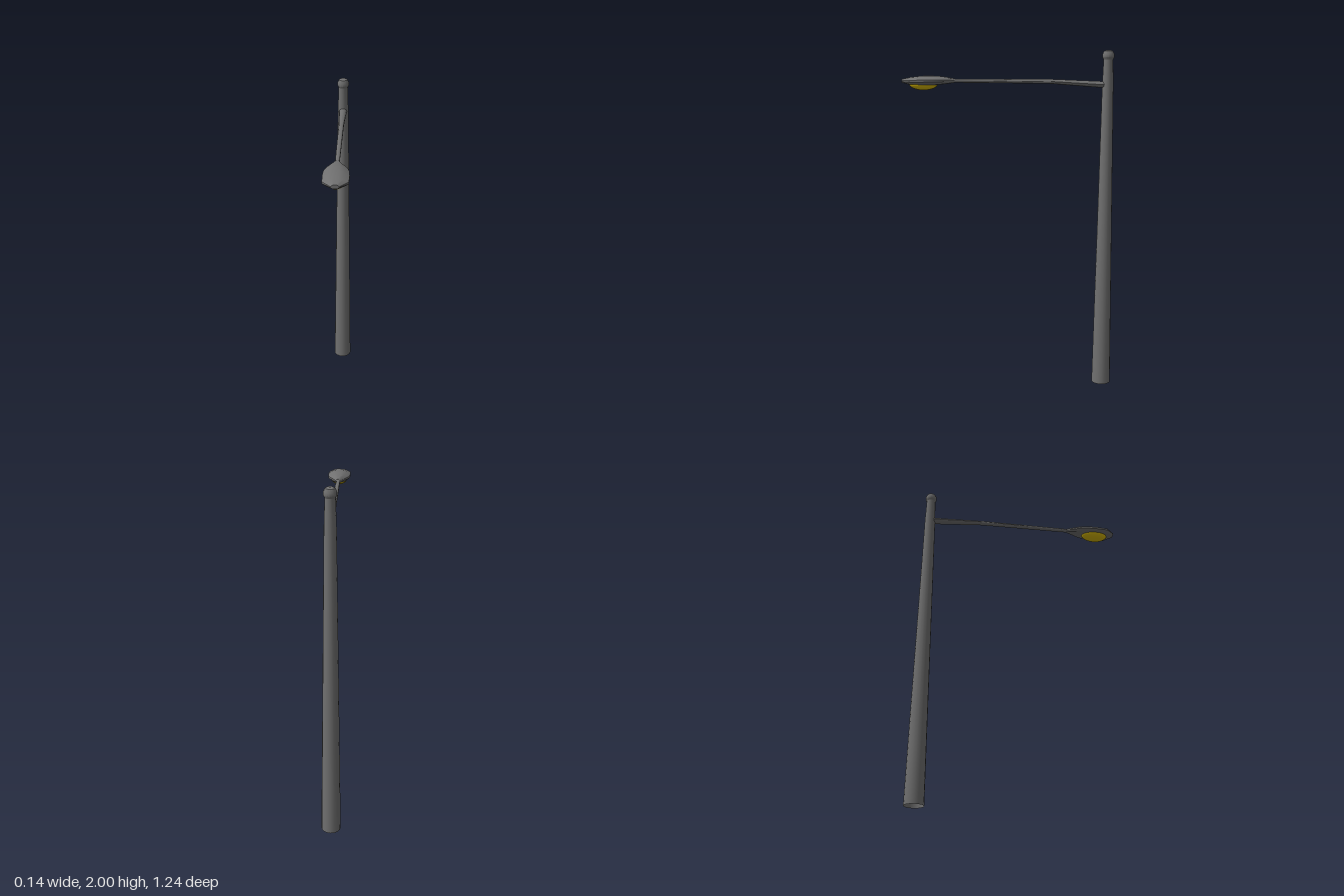
import * as THREE from 'three';
import { toCreasedNormals } from 'three/addons/utils/BufferGeometryUtils.js';

const metal = new THREE.MeshStandardMaterial({ color: 0x707070 });
const openMetal = new THREE.MeshStandardMaterial({ color: 0x707070, side: THREE.DoubleSide });
const glass = new THREE.MeshStandardMaterial({ color: 0xd8b800 });

function addMesh(group, name, geometry, material = metal) {
  const mesh = new THREE.Mesh(geometry, material);
  mesh.name = name;
  group.add(mesh);
  return mesh;
}

// Skins closed rings along +z; section(a, ring) gives [x, y], and both ends are capped.
function loft(rings, sides, section) {
  const pos = [], idx = [];
  for (const r of rings) {
    for (let i = 0; i < sides; i++) {
      const [x, y] = section((i / sides) * Math.PI * 2, r);
      pos.push(x, y, r.z);
    }
  }
  for (let k = 0; k < rings.length - 1; k++) {
    for (let i = 0; i < sides; i++) {
      const j = (i + 1) % sides, a = k * sides, b = a + sides;
      idx.push(a + i, a + j, b + j, a + i, b + j, b + i);
    }
  }
  const last = (rings.length - 1) * sides;
  for (let i = 1; i < sides - 1; i++) {
    idx.push(0, i + 1, i, last, last + i, last + i + 1);
  }
  const g = new THREE.BufferGeometry();
  g.setAttribute('position', new THREE.Float32BufferAttribute(pos, 3));
  g.setIndex(idx);
  return toCreasedNormals(g, 0.6);
}

function lathe(points, sides) {
  const g = new THREE.LatheGeometry(points.map(([r, y]) => new THREE.Vector2(r, y)), sides);
  return toCreasedNormals(g, 0.6);
}

export function createModel() {
  const model = new THREE.Group();
  model.name = 'streetLamp';
  const poleZ = -0.565;

  // Tapered hollow pole, open at the foot
  addMesh(model, 'pole', lathe([
    [0.056, 0], [0.032, 1.8], [0.027, 1.95],
  ], 16), openMetal).position.z = poleZ;

  // Faceted knob on top of the pole
  addMesh(model, 'finial', lathe([
    [0, 1.946], [0.027, 1.946], [0.034, 1.959], [0.034, 1.976], [0.026, 1.993], [0.012, 2], [0, 2],
  ], 16)).position.z = poleZ;

  // Arm, thickest where it meets the pole
  addMesh(model, 'arm', loft([
    { z: -0.565, y: 1.804, rx: 0.024, ry: 0.019 },
    { z: -0.53, y: 1.806, rx: 0.023, ry: 0.018 },
    { z: -0.24, y: 1.823, rx: 0.015, ry: 0.013 },
    { z: 0, y: 1.825, rx: 0.014, ry: 0.012 },
    { z: 0.33, y: 1.827, rx: 0.012, ry: 0.011 },
  ], 12, (a, r) => [Math.cos(a) * r.rx, r.y + Math.sin(a) * r.ry]));

  // Flattened lamp head: domed top, vertical rim, shallow underside
  const outline = [[1, 0.15], [0.6, 0.8], [0.25, 1], [-0.25, 1], [-0.6, 0.8], [-1, 0.15],
    [-1, -0.3], [-0.72, -0.85], [-0.3, -1], [0.3, -1], [0.72, -0.85], [1, -0.3]];
  addMesh(model, 'lampHead', loft([
    { z: 0.315, w: 0.012, top: 1.839, low: 1.816 },
    { z: 0.355, w: 0.03, top: 1.846, low: 1.81 },
    { z: 0.395, w: 0.052, top: 1.852, low: 1.805 },
    { z: 0.44, w: 0.064, top: 1.855, low: 1.801 },
    { z: 0.5, w: 0.068, top: 1.855, low: 1.8 },
    { z: 0.57, w: 0.065, top: 1.847, low: 1.804 },
    { z: 0.621, w: 0.021, top: 1.836, low: 1.815 },
  ], 12, (a, r) => {
    const [u, v] = outline[Math.round((a / (Math.PI * 2)) * 12) % 12];
    return [u * r.w, (r.top + r.low) / 2 + (v * (r.top - r.low)) / 2];
  }));

  // Yellow lens bulging below the head
  const lens = addMesh(model, 'lens',
    new THREE.SphereGeometry(1, 20, 8, 0, Math.PI * 2, Math.PI / 2, Math.PI / 2), glass);
  lens.scale.set(0.05, 0.036, 0.083);
  lens.position.set(0, 1.809, 0.497);

  return model;
}
